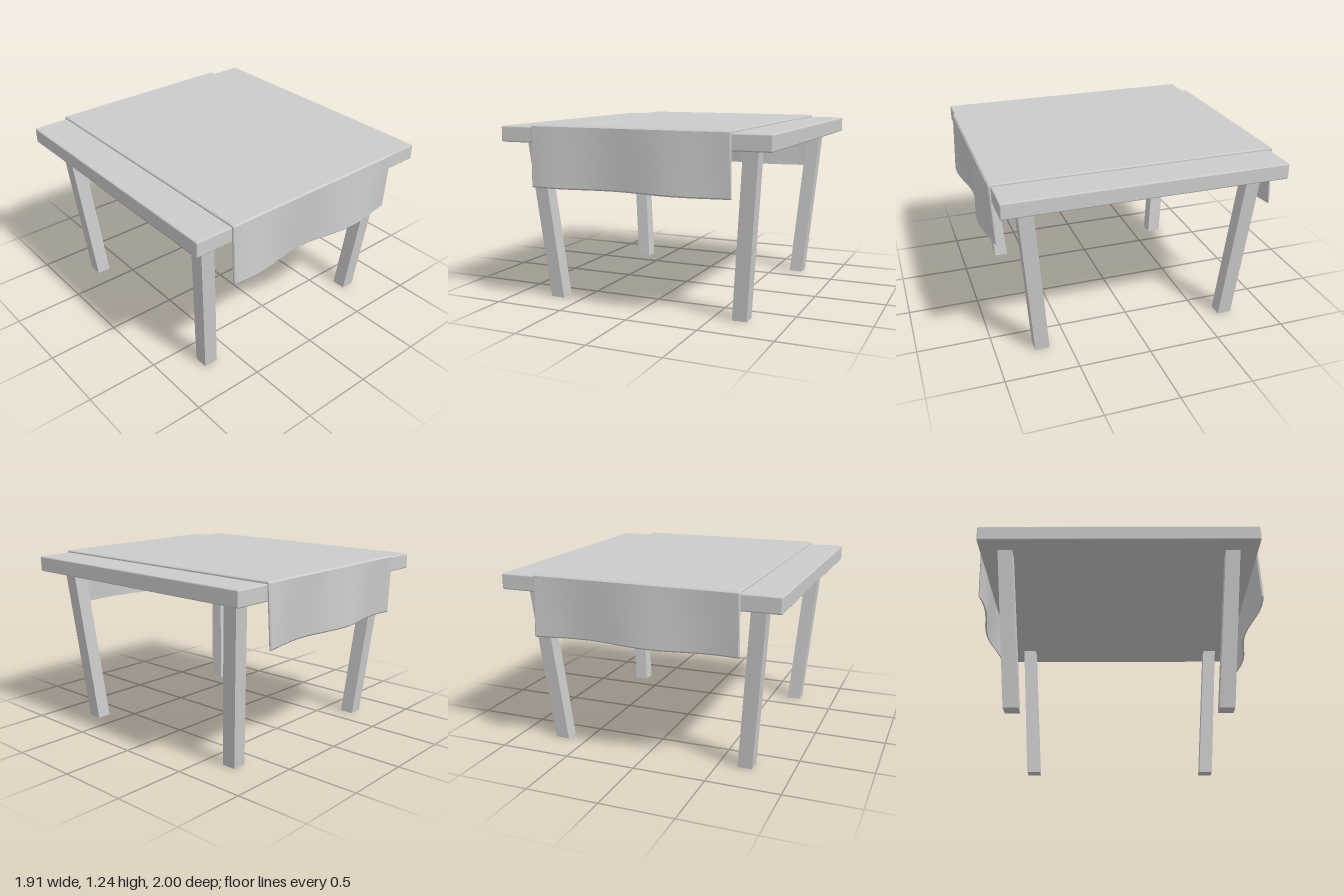
import * as THREE from 'three';
import { RoundedBoxGeometry } from 'three/addons/geometries/RoundedBoxGeometry.js';
import { toCreasedNormals } from 'three/addons/utils/BufferGeometryUtils.js';

const material = new THREE.MeshStandardMaterial({ color: 0xcccccc });

function addMesh(parent, name, geometry) {
  const mesh = new THREE.Mesh(geometry, material);
  mesh.name = name;
  parent.add(mesh);
  return mesh;
}

// Square leg whose foot is drawn in towards the middle; both ends stay level
function legGeometry(sx, sz) {
  const top = 1.125, size = 0.1;
  const geometry = new THREE.BoxGeometry(size, top, size).translate(0, top / 2, 0);
  const p = geometry.attributes.position;
  for (let i = 0; i < p.count; i++) {
    const centre = 0.685 + 0.095 * p.getY(i) / top;
    p.setX(i, p.getX(i) + sx * centre);
    p.setZ(i, p.getZ(i) + sz * centre);
  }
  return toCreasedNormals(geometry, 0.5);
}

// Runner: a thin bent strip (z, y) swept along x, rippling more towards its hems
function runnerGeometry() {
  const half = 0.7, bevel = 0.006, steps = 48;
  const hem = 0.825, fold = 1.232;
  const mirrored = (pts) => [...pts, ...pts.map(([z, y]) => [-z, y]).reverse()];
  const outer = mirrored([[0.966, hem], [0.974, 0.835], [0.973, fold], [0.963, 1.242]]);
  const inner = mirrored([[0.96, hem], [0.96, 0.835], [0.957, 1.225], [0.956, 1.226]]);
  const m = outer.length, n = 2 * m;

  const stations = [-half];
  for (let i = 0; i <= steps; i++) stations.push((half - bevel) * (2 * i / steps - 1));
  stations.push(half);

  const rings = stations.map((x, s) => {
    const inset = s === 0 || s === stations.length - 1 ? 0.4 : 0; // bevelled side edge
    const place = ([z, y]) => {
      const drop = Math.max(0, (fold - y) / (fold - hem));
      return [x, y, z + 0.026 * drop * Math.cos(7 * (x - 0.345))];
    };
    const face = outer.map(([z, y], j) => place([
      z + (inner[j][0] - z) * inset, y + (inner[j][1] - y) * inset]));
    return [...face, ...inner.map(place).reverse()];
  });

  const positions = [];
  const quad = (a, b, c, d) => positions.push(...a, ...b, ...c, ...a, ...c, ...d);
  for (let s = 0; s < rings.length - 1; s++) {
    const r = rings[s], q = rings[s + 1];
    for (let j = 0; j < n; j++) {
      const k = (j + 1) % n;
      quad(r[j], q[j], q[k], r[k]);
    }
  }
  // Side edges: close the strip between its outer and inner faces
  const first = rings[0], last = rings[rings.length - 1];
  for (let j = 0; j < m - 1; j++) {
    const a = j, b = j + 1, c = n - 2 - j, d = n - 1 - j;
    quad(first[a], first[b], first[c], first[d]);
    quad(last[a], last[d], last[c], last[b]);
  }
  const geometry = new THREE.BufferGeometry();
  geometry.setAttribute('position', new THREE.Float32BufferAttribute(positions, 3));
  return toCreasedNormals(geometry, 0.5);
}

export function createModel() {
  const table = new THREE.Group();
  table.name = 'table';

  // Top slab with softened edges
  addMesh(table, 'tableTop', new RoundedBoxGeometry(1.91, 0.108, 1.91, 2, 0.01))
    .position.y = 1.173;

  // Four splayed legs
  for (const [end, sz] of [['front', 1], ['back', -1]])
    for (const [side, sx] of [['Left', 1], ['Right', -1]])
      addMesh(table, `${end}${side}Leg`, legGeometry(sx, sz));

  // Cloth laid over the top, hanging at front and back
  addMesh(table, 'tableRunner', runnerGeometry());

  return table;
}
